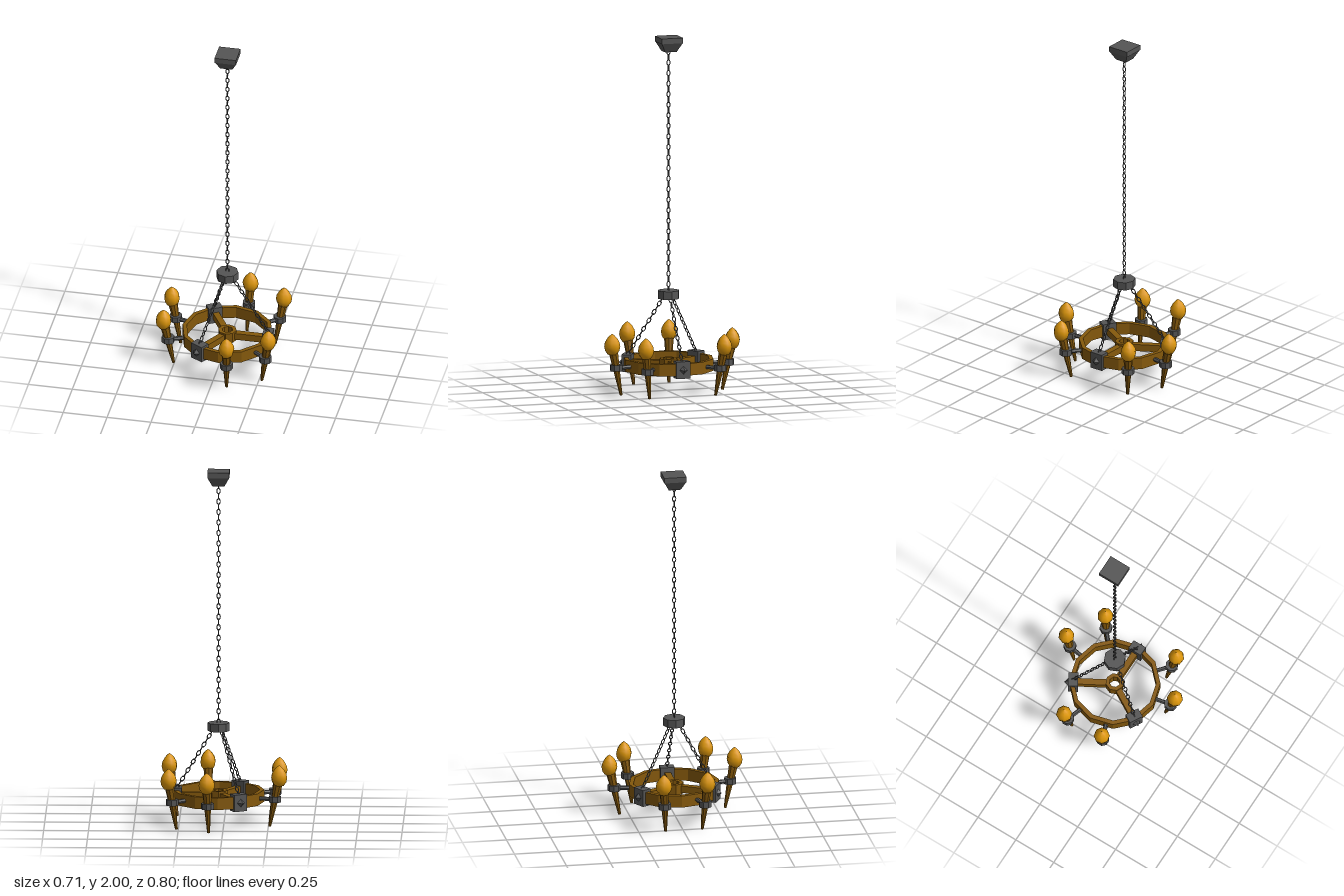
import * as THREE from 'three';

const iron = new THREE.MeshStandardMaterial({ color: 0x555555, flatShading: true });
const wood = new THREE.MeshStandardMaterial({ color: 0x85590c, flatShading: true });
const flameMat = new THREE.MeshStandardMaterial({ color: 0xdc960a });

const CX = 0.03;   // axis of the chandelier
const RING_Y = 0.156;

function add(parent, name, geometry, material, x = 0, y = 0, z = 0) {
  const mesh = new THREE.Mesh(geometry, material);
  mesh.name = name;
  mesh.position.set(x, y, z);
  parent.add(mesh);
  return mesh;
}

// Polygonal ring with a rectangular section, corner on +x
function ringGeometry(outer, inner, height, sides) {
  const h = height / 2;
  const profile = [[inner, -h], [outer, -h], [outer, h], [inner, h], [inner, -h]];
  const g = new THREE.LatheGeometry(profile.map(p => new THREE.Vector2(...p)), sides);
  return g;
}

// Interlocking links between two points, every other one turned a quarter
const linkGeometry = new THREE.TorusGeometry(0.0095, 0.0028, 5, 10).scale(1, 1.6, 1);
function chain(name, from, to) {
  const group = new THREE.Group();
  group.name = name;
  const length = from.distanceTo(to);
  const count = Math.round(length / 0.0295);
  for (let i = 0; i < count; i++) {
    const link = add(group, 'chainLink', linkGeometry, iron, 0, (i + 0.5) * length / count, 0);
    link.rotation.y = i % 2 ? Math.PI / 2 : 0;
  }
  group.position.copy(from);
  group.quaternion.setFromUnitVectors(new THREE.Vector3(0, 1, 0), to.clone().sub(from).normalize());
  return group;
}

// Group whose local +x points outward at the given angle
function radial(parent, name, degrees) {
  const group = new THREE.Group();
  group.name = name;
  group.rotation.y = THREE.MathUtils.degToRad(degrees);
  parent.add(group);
  return group;
}

function createTorch(parent, degrees) {
  const holder = radial(parent, 'torchHolder', degrees + 0.8);
  const arm = add(holder, 'arm', new THREE.CylinderGeometry(0.012, 0.012, 0.085, 6), iron, 0.278, RING_Y);
  arm.rotation.z = Math.PI / 2;
  add(holder, 'cup', new THREE.CylinderGeometry(0.036, 0.036, 0.034, 8), iron, 0.335, RING_Y + 0.002);

  // Tapered stick leaning outward
  const stick = add(holder, 'stick', new THREE.CylinderGeometry(0.027, 0.008, 0.25, 8), wood, 0.329, 0.124);
  stick.rotation.z = -0.2;

  // Flame bulb
  const profile = [[0, 0.228], [0.026, 0.236], [0.04, 0.256], [0.045, 0.28],
    [0.041, 0.303], [0.029, 0.325], [0.014, 0.341], [0, 0.352]];
  const flame = add(holder, 'flame',
    new THREE.LatheGeometry(profile.map(p => new THREE.Vector2(...p)), 8), flameMat, 0.361, 0, 0);
  flame.rotation.y = 0.2;
}

export function createModel() {
  const model = new THREE.Group();
  model.name = 'chandelier';
  const body = new THREE.Group();
  body.name = 'chandelierBody';
  body.position.x = CX;
  model.add(body);

  // Ceiling mount: square plate over a tapered block
  add(body, 'ceilingPlate', new THREE.BoxGeometry(0.122, 0.03, 0.126), iron, 0, 1.985, -0.003);
  const taper = new THREE.CylinderGeometry(0.061 * Math.SQRT2, 0.034 * Math.SQRT2, 0.052, 4).rotateY(Math.PI / 4);
  add(body, 'ceilingTaper', taper, iron, 0, 1.945, -0.003);

  // Main chain and collar
  body.add(chain('mainChain', new THREE.Vector3(0, 0.56, 0), new THREE.Vector3(0, 1.93, 0)));
  add(body, 'collar', new THREE.CylinderGeometry(0.062, 0.062, 0.046, 8), iron, 0, 0.547);

  // Wooden ring and hub
  add(body, 'ring', ringGeometry(0.255, 0.231, 0.068, 12), wood, 0, RING_Y);
  add(body, 'hub', ringGeometry(0.052, 0.03, 0.062, 8), wood, 0, RING_Y);

  for (const angle of [0, 120, 240]) {
    // Spoke, bracket with pyramid stud, and hanging chain
    const side = radial(body, 'spokeAssembly', angle);
    add(side, 'spoke', new THREE.BoxGeometry(0.175, 0.04, 0.035), wood, 0.13, RING_Y);
    add(side, 'bracket', new THREE.BoxGeometry(0.055, 0.096, 0.08), iron, 0.2325, RING_Y);
    const stud = add(side, 'stud', new THREE.ConeGeometry(0.024, 0.023, 4), iron, 0.271, RING_Y);
    stud.rotation.z = -Math.PI / 2;
    side.add(chain('hangingChain', new THREE.Vector3(0.238, 0.19, 0), new THREE.Vector3(0.03, 0.53, 0)));

    // A torch on either side of each bracket
    createTorch(body, angle + 40);
    createTorch(body, angle - 40);
  }
  return model;
}
